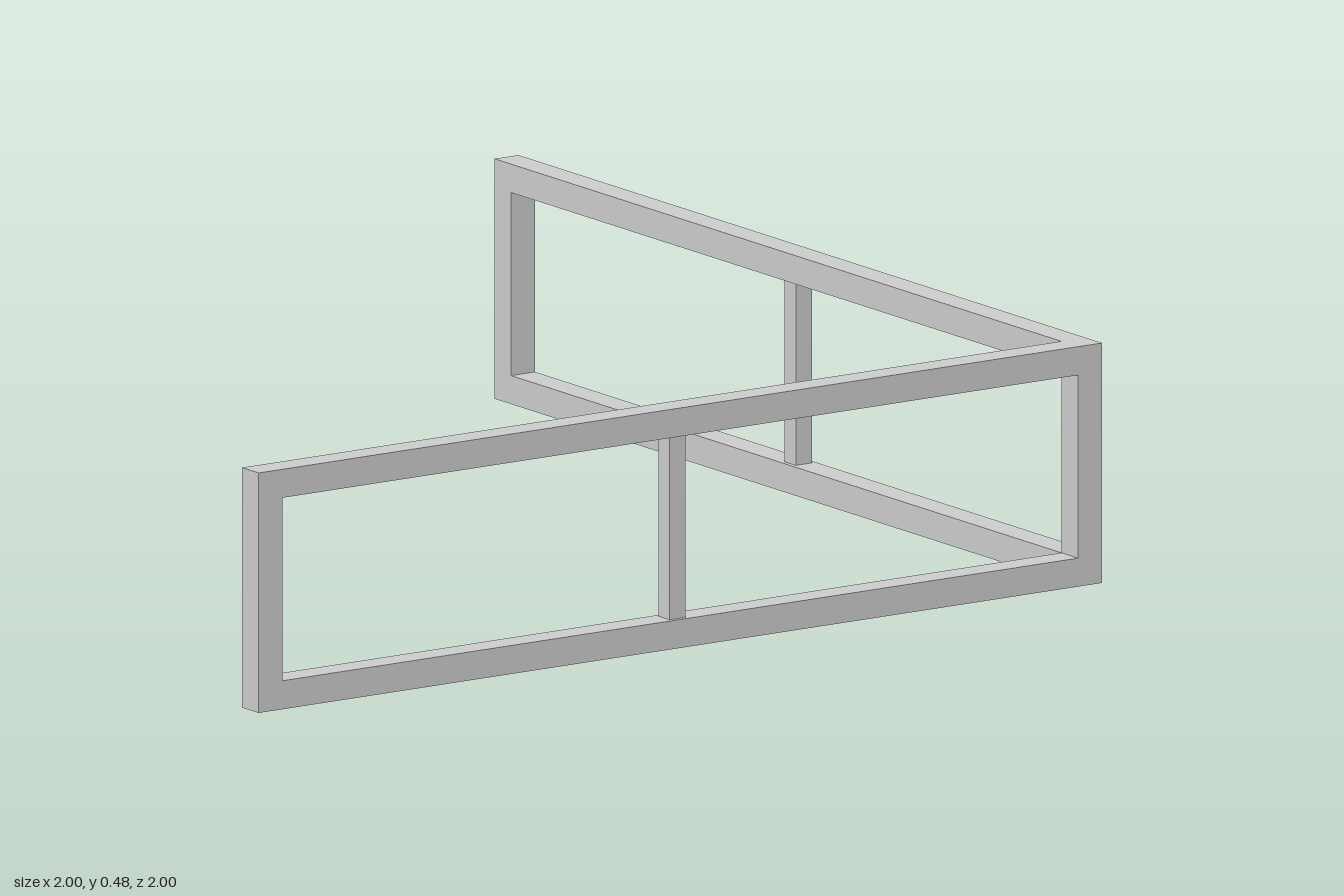
import * as THREE from 'three';

const H = 0.48;      // overall height
const T = 0.057;     // frame bar thickness
const M = 0.038;     // mullion thickness
const C = 1 - T / 2; // centre line of each wing

export function createModel() {
  const group = new THREE.Group();
  const material = new THREE.MeshStandardMaterial({ color: 0xcccccc, flatShading: true });

  const add = (name, geometry, x, y, z) => {
    const mesh = new THREE.Mesh(geometry, material);
    mesh.name = name;
    mesh.position.set(x, y, z);
    group.add(mesh);
  };

  // L-shaped rails running along the front and back along the left side
  const plan = new THREE.Shape([
    [-1, -1], [1, -1], [1, 1], [1 - T, 1], [1 - T, -1 + T], [-1, -1 + T],
  ].map(([x, y]) => new THREE.Vector2(x, y)));
  const rail = new THREE.ExtrudeGeometry(plan, { depth: T, bevelEnabled: false });
  rail.rotateX(-Math.PI / 2);
  add('bottomRail', rail, 0, 0, 0);
  add('topRail', rail, 0, H - T, 0);

  // Uprights between the rails
  const upright = (name, size, x, z) =>
    add(name, new THREE.BoxGeometry(size, H - 2 * T, size), x, H / 2, z);
  upright('frontEndPost', T, -C, C);
  upright('cornerPost', T, C, C);
  upright('sideEndPost', T, C, -C);
  upright('frontMullion', M, 0, C);
  upright('sideMullion', M, C, 0);

  return group;
}
